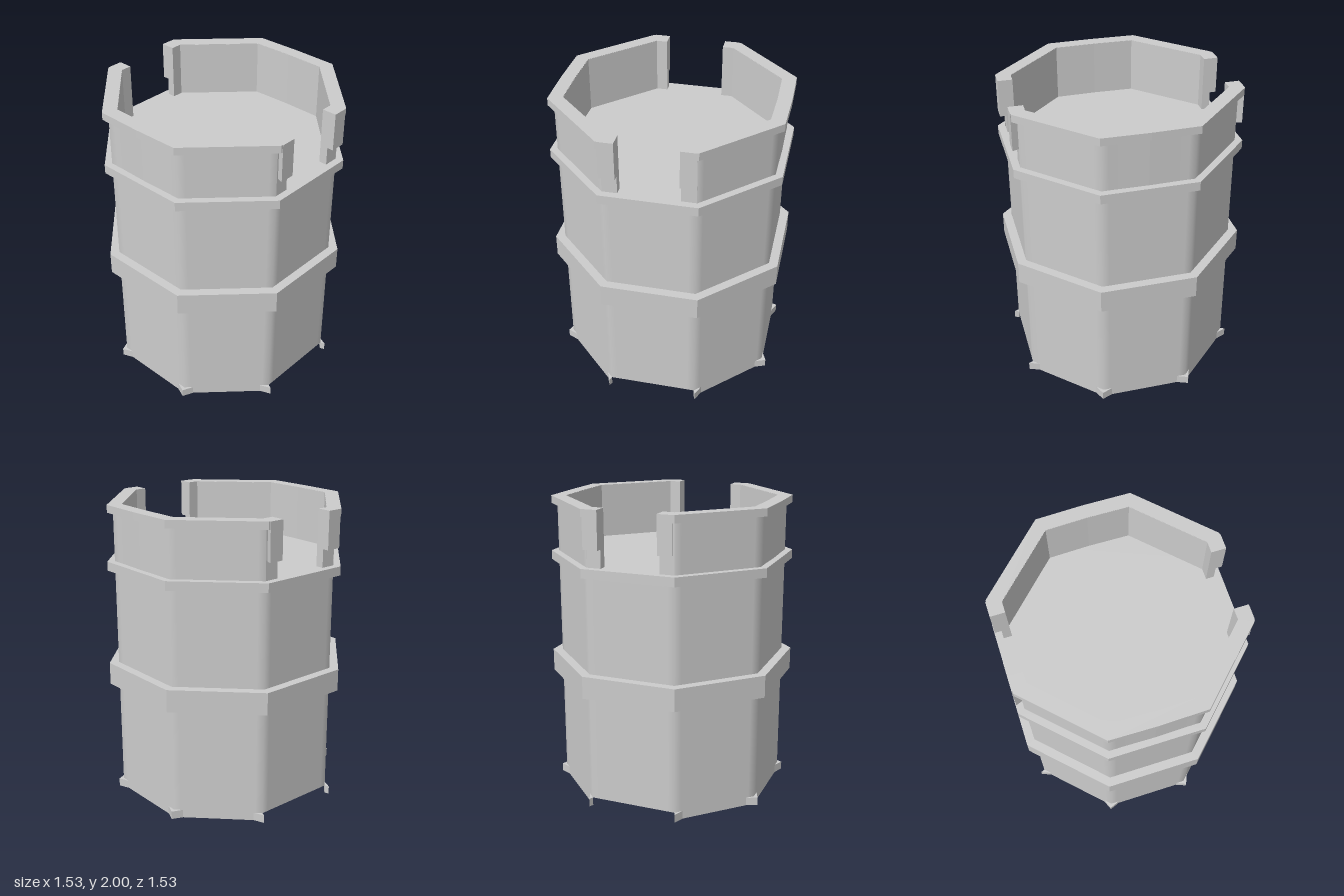
import * as THREE from 'three';

const T = Math.tan(Math.PI / 8);
const BODY = 0.706; // centre-to-face distance of the octagonal shell
const material = new THREE.MeshStandardMaterial({ color: 0xcccccc, side: THREE.DoubleSide });

// Corner i of an octagon with the given centre-to-face distance, as [x, z]
function corner(a, i) {
  const t = Math.PI / 8 + (i * Math.PI) / 4, r = a * Math.hypot(1, T);
  return [r * Math.cos(t), r * Math.sin(t)];
}
const octagon = (a) => Array.from({ length: 8 }, (_, i) => corner(a, i));

// Upright prism over [x, z] points
function prism(name, points, y0, y1, hole) {
  const toV = ([x, z]) => new THREE.Vector2(x, -z);
  const shape = new THREE.Shape(points.map(toV));
  if (hole) shape.holes.push(new THREE.Path(hole.map(toV)));
  const g = new THREE.ExtrudeGeometry(shape, { depth: y1 - y0, bevelEnabled: false });
  g.rotateX(-Math.PI / 2).translate(0, y0, 0);
  const mesh = new THREE.Mesh(g, material);
  mesh.name = name;
  return mesh;
}

// Eight-sided open shell: flat faces whose shading is softened at the corners
function shell() {
  const pos = [], nor = [], idx = [];
  const half = BODY * T, inset = half - 0.045;
  const levels = [0, 1];
  for (let f = 0; f < 8; f++) {
    const t = (f * Math.PI) / 4, side = f % 4 === 0; // side = the two x faces
    const y = side ? [0.055, 1.62] : [0, 1.97];
    const base = pos.length / 3;
    [-half, -inset, inset, half].forEach((s, k) => {
      const n = t + [-1, 0, 0, 1][k] * (Math.PI / 8);
      for (const l of levels) {
        pos.push(BODY * Math.cos(t) - s * Math.sin(t), y[l], BODY * Math.sin(t) + s * Math.cos(t));
        nor.push(Math.cos(n), 0, Math.sin(n));
      }
    });
    for (let k = 0; k < 3; k++) {
      const a = base + k * 2;
      idx.push(a, a + 1, a + 2, a + 1, a + 3, a + 2);
    }
  }
  const g = new THREE.BufferGeometry();
  g.setAttribute('position', new THREE.Float32BufferAttribute(pos, 3));
  g.setAttribute('normal', new THREE.Float32BufferAttribute(nor, 3));
  g.setIndex(idx);
  const mesh = new THREE.Mesh(g, material);
  mesh.name = 'shell';
  return mesh;
}

// Half-octagon path on the front or back (s = 1 or -1), slightly bowed in the middle
function halfPath(a, s, zEnd) {
  const c = a * T;
  return [[a, zEnd], [a, c], [c, a], [0, a + 0.006], [-c, a], [-a, c], [-a, zEnd]].map(([x, z]) => [x, z * s]);
}
const cShape = (outer, inner, s, zEnd) => [...halfPath(outer, s, zEnd), ...halfPath(inner, s, zEnd).reverse()];

export function createModel() {
  const model = new THREE.Group();
  model.name = 'octagonalTower';
  model.add(shell());

  // Bands around the shell; the upper one also carries the platform
  model.add(prism('middleBand', octagon(0.765), 0.78, 0.93, octagon(0.7)));
  model.add(prism('platform', octagon(0.752), 1.57, 1.63));

  // Parapet halves with a gap on each side, capped by a rim and gate posts
  for (const s of [1, -1]) {
    const label = s > 0 ? 'front' : 'back';
    model.add(prism(label + 'Parapet', cShape(0.704, 0.65, s, 0.196), 1.63, 1.998));
    model.add(prism(label + 'Rim', cShape(0.742, 0.651, s, 0.25), 1.95, 2));
    for (const m of [1, -1]) {
      const post = [[0.65, 0.196], [0.746, 0.196], [0.746, 0.297], [0.65, 0.26]].map(([x, z]) => [x * m, z * s]);
      model.add(prism(label + (m > 0 ? 'Left' : 'Right') + 'GatePost', post, 1.75, 2));
    }
  }

  // Small pointed feet at the corners, kept clear of the raised x faces
  const feet = new THREE.Group();
  feet.name = 'feet';
  for (let i = 0; i < 8; i++) {
    const here = corner(BODY, i);
    const along = (j) => {
      const other = corner(BODY, j), k = 0.06 / (2 * BODY * T);
      return here.map((v, n) => v + (other[n] - v) * k);
    };
    const points = [corner(0.735, i)];
    // Faces i and i + 1 meet at corner i
    points.push((i + 1) % 4 === 0 ? here : along((i + 1) % 8));
    if ((i + 1) % 4 !== 0 && i % 4 !== 0) points.push(here);
    points.push(i % 4 === 0 ? here : along((i + 7) % 8));
    feet.add(prism('foot', points, 0, 0.055));
  }
  model.add(feet);
  return model;
}
